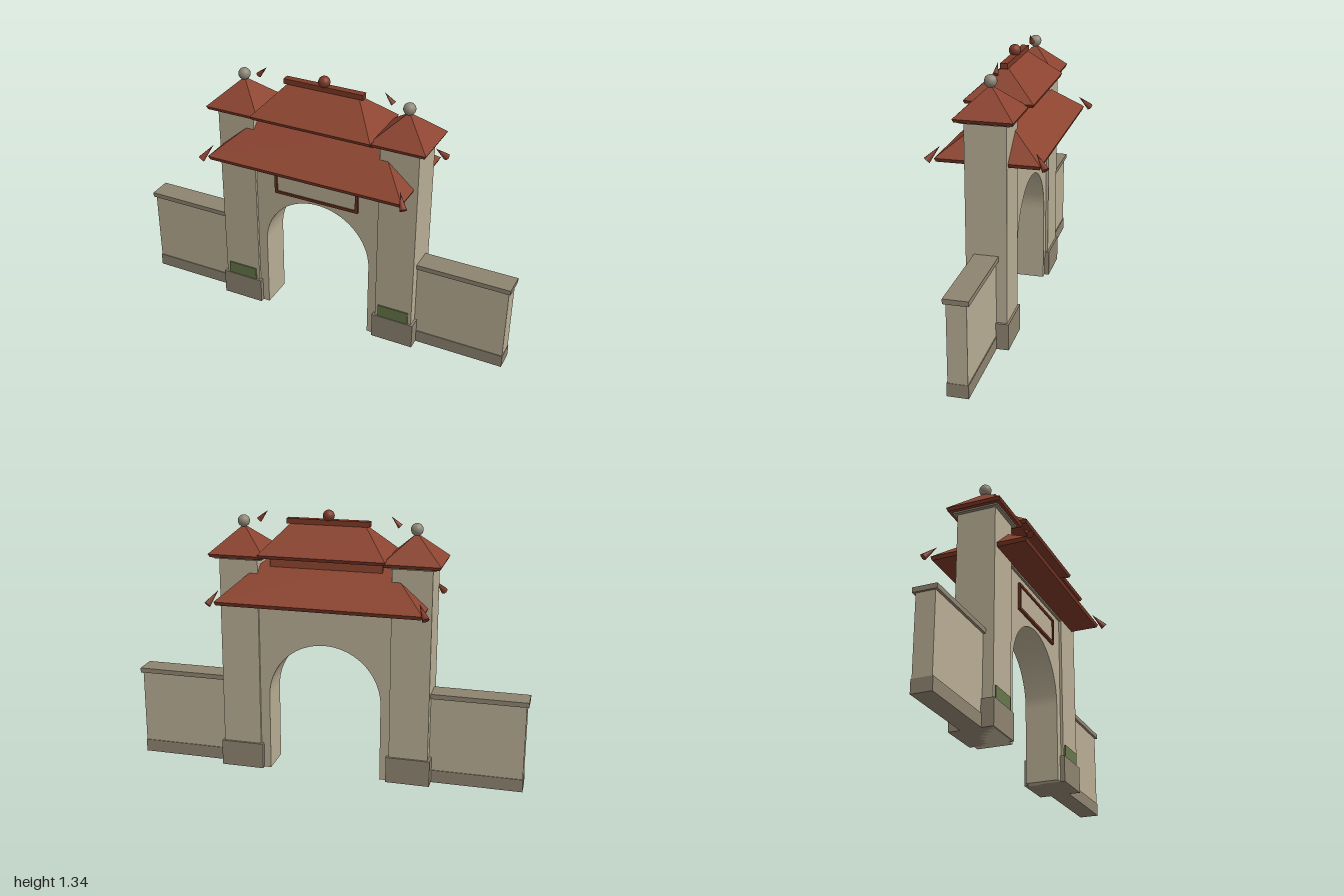
import * as THREE from 'three';

const mat = (name, color, extra = {}) => {
  const m = new THREE.MeshStandardMaterial({ color, ...extra });
  m.name = name;
  return m;
};

export function createModel() {
  const root = new THREE.Group();
  root.name = 'gateway';
  const plaster = mat('plaster', 0xb8ad94);
  const stone = mat('stone', 0x8e8370);
  const tile = mat('roofTile', 0x8c4430);
  const trim = mat('roofTrim', 0x7c3826);
  const wood = mat('darkWood', 0x69301f);
  const green = mat('greenPanel', 0x66764a);
  const finialStone = mat('finialStone', 0x8f8878);

  const add = (name, geo, material, x = 0, y = 0, z = 0) => {
    const mesh = new THREE.Mesh(geo, material);
    mesh.name = name;
    mesh.position.set(x, y, z);
    root.add(mesh);
    return mesh;
  };

  // Box given by its centre in x and z, and its bottom and top heights
  const block = (name, material, w, d, y0, y1, x = 0, z = 0) =>
    add(name, new THREE.BoxGeometry(w, y1 - y0, d), material, x, (y0 + y1) / 2, z);

  // Stack of rectangles [halfX, halfZ, y], bottom to top, closed at both ends
  const stacked = (levels) => {
    const pos = [];
    const rings = levels.map(([a, c, y]) => [[-a, y, c], [a, y, c], [a, y, -c], [-a, y, -c]]);
    const quad = (p, q, r, s) => pos.push(...p, ...q, ...r, ...p, ...r, ...s);
    for (let i = 0; i < rings.length - 1; i++) {
      for (let k = 0; k < 4; k++) {
        const n = (k + 1) % 4;
        quad(rings[i][k], rings[i][n], rings[i + 1][n], rings[i + 1][k]);
      }
    }
    const [b, t] = [rings[0], rings[rings.length - 1]];
    quad(b[3], b[2], b[1], b[0]);
    quad(t[0], t[1], t[2], t[3]);
    const g = new THREE.BufferGeometry();
    g.setAttribute('position', new THREE.Float32BufferAttribute(pos, 3));
    g.computeVertexNormals();
    return g;
  };

  // Hipped roof with a darker eave board
  const roof = (name, x, hx, hz, y0, y1, y2, ridgeX, ridgeZ) => {
    add(name + 'Eave', stacked([[hx - 0.008, hz - 0.006, y0], [hx, hz, y1]]), trim, x);
    add(name, stacked([[hx, hz, y1], [ridgeX, ridgeZ, y2]]), tile, x);
  };

  // Cone running from the centre of its base to its tip
  const horn = (name, base, tip, radius) => {
    const a = new THREE.Vector3(...base), b = new THREE.Vector3(...tip);
    const dir = b.clone().sub(a);
    const mesh = add(name, new THREE.ConeGeometry(radius, dir.length(), 8), trim);
    mesh.position.copy(a).add(b).multiplyScalar(0.5);
    mesh.quaternion.setFromUnitVectors(new THREE.Vector3(0, 1, 0), dir.normalize());
  };

  // Central wall with the arched passage
  const arch = new THREE.Shape();
  arch.moveTo(-0.335, 0);
  arch.lineTo(-0.285, 0);
  arch.lineTo(-0.285, 0.395);
  arch.absarc(0, 0.395, 0.285, Math.PI, 0, true);
  arch.lineTo(0.285, 0);
  arch.lineTo(0.335, 0);
  arch.lineTo(0.335, 0.895);
  arch.lineTo(-0.335, 0.895);
  const archGeo = new THREE.ExtrudeGeometry(arch, { depth: 0.17, bevelEnabled: false, curveSegments: 32 });
  add('archWall', archGeo, plaster, 0, 0, -0.085);
  block('archCornice', stone, 0.67, 0.19, 0.882, 0.893);

  // Framed plaque over the arch
  block('plaquePanel', plaster, 0.43, 0.008, 0.71, 0.83, 0, 0.088);
  for (const s of [-1, 1]) {
    const y = 0.77 + s * 0.063;
    block('plaqueRail', wood, 0.45, 0.015, y - 0.007, y + 0.007, 0, 0.091);
    block('plaqueStile', wood, 0.014, 0.015, 0.714, 0.826, s * 0.218, 0.091);
  }

  // Mirrored pillars and side walls
  for (const s of [-1, 1]) {
    const px = s * 0.43;
    block('pillar', plaster, 0.195, 0.196, 0, 1.095, px);
    block('pillarBase', stone, 0.22, 0.216, 0, 0.133, px);
    block('pillarCap', stone, 0.23, 0.232, 1.093, 1.104, px);
    block('pillarPanel', green, 0.16, 0.008, 0.133, 0.198, px, 0.1);
    roof('pillarRoof', px, 0.141, 0.139, 1.102, 1.118, 1.245, 0.002, 0.002);
    add('pillarFinial', new THREE.SphereGeometry(0.03, 16, 12), finialStone, px, 1.264, 0);

    block('sideWall', plaster, 0.47, 0.092, 0.06, 0.447, s * 0.755);
    block('sideWallPlinth', stone, 0.472, 0.1, 0, 0.065, s * 0.756);
    block('sideWallCoping', stone, 0.475, 0.117, 0.445, 0.469, s * 0.7625);
  }

  // Two-tier main roof
  roof('lowerRoof', 0, 0.508, 0.246, 0.892, 0.91, 1.1, 0.29, 0.004);
  roof('upperRoof', 0, 0.312, 0.167, 1.116, 1.132, 1.266, 0.187, 0.016);
  block('upperRoofNeck', tile, 0.56, 0.12, 1.03, 1.118);
  block('ridgeBar', trim, 0.412, 0.036, 1.264, 1.29);
  add('ridgeBall', new THREE.SphereGeometry(0.029, 16, 12), trim, 0, 1.308, 0);

  // Horns at the corners of the lower roof and beside the upper ridge
  for (const s of [-1, 1]) {
    horn('ridgeHorn', [s * 0.35, 1.273, 0], [s * 0.306, 1.32, 0], 0.014);
    for (const f of [-1, 1]) {
      horn('cornerHorn', [s * 0.528, 0.903, f * 0.274], [s * 0.488, 0.965, f * 0.222], 0.018);
    }
  }
  return root;
}
